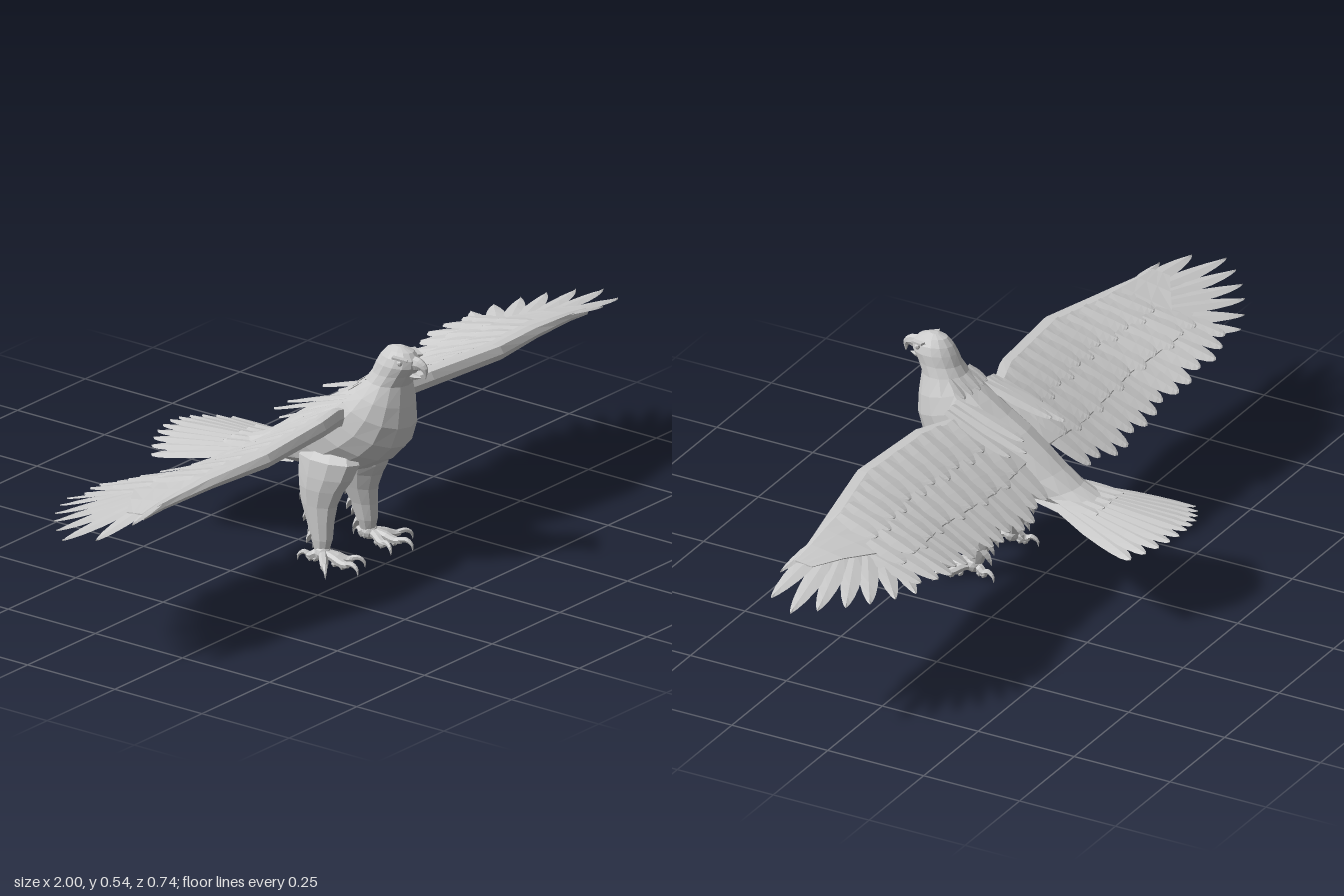
import * as THREE from 'three';

const mat = new THREE.MeshStandardMaterial({ color: 0xcccccc, flatShading: true, side: THREE.DoubleSide });
const V = (x, y, z) => new THREE.Vector3(x, y, z);
const lerp = THREE.MathUtils.lerp;

function mesh(name, geometry, parent) {
  const m = new THREE.Mesh(geometry, mat);
  m.name = name;
  parent.add(m);
  return m;
}

// Skin rows of points; closed rows become rings with capped ends
function skin(rows, closed = false) {
  const n = rows[0].length, index = [];
  for (let r = 0; r < rows.length - 1; r++)
    for (let i = 0; i < (closed ? n : n - 1); i++) {
      const a = r * n + i, b = r * n + (i + 1) % n;
      index.push(a, a + n, b, b, a + n, b + n);
    }
  if (closed) {
    const last = (rows.length - 1) * n;
    for (let i = 1; i < n - 1; i++) index.push(0, i, i + 1, last, last + i + 1, last + i);
  }
  const g = new THREE.BufferGeometry().setFromPoints(rows.flat());
  g.setIndex(index);
  g.computeVertexNormals();
  return g;
}

// Tube that follows a curve with changing radius
function taper(points, radii, sides = 7, steps = 7) {
  const curve = new THREE.CatmullRomCurve3(points), frames = curve.computeFrenetFrames(steps, false);
  const rows = [];
  for (let s = 0; s <= steps; s++) {
    const t = s / steps, f = t * (radii.length - 1), k = Math.min(Math.floor(f), radii.length - 2);
    const r = lerp(radii[k], radii[k + 1], f - k), c = curve.getPoint(t);
    rows.push(Array.from({ length: sides }, (_, i) => {
      const a = i / sides * Math.PI * 2;
      return c.clone().addScaledVector(frames.normals[s], Math.cos(a) * r)
        .addScaledVector(frames.binormals[s], Math.sin(a) * r);
    }));
  }
  return skin(rows, true);
}

// Thin ridged blade from base to tip [x, z], draped over a height function
function feather(base, tip, half, height, lift = 0, point = 0.5) {
  const dx = tip[0] - base[0], dz = tip[1] - base[1], len = Math.hypot(dx, dz);
  const rows = [0, 0.25, 0.5, 0.7, 0.84, 0.93, 0.98, 1].map(t => {
    const w = half * Math.pow(Math.max(0, 1 - Math.pow(t, 4)), point) * (0.6 + 0.4 * Math.min(1, t * 2));
    return [-1, 0, 1].map(s => {
      const x = base[0] + dx * t - dz / len * w * s, z = base[1] + dz * t + dx / len * w * s;
      return V(x, height(x, z) + lift + (s ? 0 : 0.003), z);
    });
  });
  return skin(rows);
}

// Wing stations: x, leading z, trailing z, leading y, trailing y, thickness
const stations = [
  [0.04, 0.19, -0.05, 0.385, 0.26, 0.05], [0.1, 0.2, -0.06, 0.40, 0.25, 0.05],
  [0.2, 0.235, -0.08, 0.41, 0.237, 0.045], [0.43, 0.255, -0.075, 0.405, 0.265, 0.04],
  [0.6, 0.225, -0.1, 0.388, 0.30, 0.03], [0.75, 0.2, -0.07, 0.368, 0.318, 0.02],
  [0.87, 0.19, -0.03, 0.35, 0.325, 0.012], [1.0, 0.17, 0, 0.33, 0.33, 0.006]];
function station(x) {
  let k = 0;
  while (k < stations.length - 2 && x > stations[k + 1][0]) k++;
  const a = stations[k], b = stations[k + 1];
  const t = THREE.MathUtils.clamp((x - a[0]) / (b[0] - a[0]), 0, 1);
  return a.map((v, i) => lerp(v, b[i], t));
}
function wingY(x, z) {
  const [, lz, tz, ly, ty] = station(x);
  return lerp(ly, ty, Math.pow(THREE.MathUtils.clamp((lz - z) / (lz - tz), 0, 1.1), 1.15));
}

function makeWing() {
  const wing = new THREE.Group();
  // Solid arm: a cambered section, thick at the leading edge
  const section = [[0, -0.6], [0.03, -0.15], [0.1, 0], [0.25, 0], [0.45, 0], [0.7, 0],
    [0.7, -0.1], [0.45, -0.25], [0.25, -0.5], [0.1, -0.95], [0.02, -0.95]];
  const rows = [0.04, 0.1, 0.15, 0.2, 0.28, 0.36, 0.43, 0.52, 0.6, 0.68, 0.75, 0.82].map(x => {
    const [, lz, tz, , , th] = station(x), chord = x > 0.6 ? lerp(1, 0.3, (x - 0.6) / 0.22) : 1;
    return section.map(([u, d]) => {
      const z = lerp(lz, tz, u * chord);
      return V(x, wingY(x, z) + d * th, z);
    });
  });
  mesh('wingArm', skin(rows, true), wing);
  // Fanned outer flight feathers
  const tips = [[0.87, 0.198], [0.965, 0.168], [1, 0.098], [0.96, 0.05], [0.91, 0.005], [0.86, -0.03],
    [0.8, -0.062], [0.745, -0.085]];
  tips.forEach((tip, i) => mesh('primaryFeather',
    feather([0.68 - i * 0.012, 0.175 - i * 0.012], tip, i ? 0.026 : 0.014, wingY, -0.004 - i * 0.0006, 0.8), wing));
  // Inner flight feathers along the trailing edge
  for (let i = 0; i < 14; i++) {
    const x = 0.1 + i * 0.046, z = station(x)[2] + (i % 3 === 1 ? 0.01 : 0);
    mesh('secondaryFeather', feather([x - 0.02, 0.11], [x, z], 0.032, wingY, -0.004 - (i % 2) * 0.002), wing);
  }
  // Overlapping covert rows
  [[0.42, 0.72, 0.004], [0.12, 0.45, 0.007]].forEach(([u0, u1, lift], row) => {
    for (let i = 0; i < 12 - row; i++) {
      const x = 0.11 + i * 0.05 + row * 0.02, [, lz, tz] = station(x);
      mesh('covertFeather', feather([x - 0.01, lerp(lz, tz, u0)],
        [x + 0.006, lerp(lz, tz, u1 + (i % 2) * 0.03)], 0.03, wingY, lift - (i % 2) * 0.002), wing);
    }
  });
  // Long shoulder feathers lying between back and wing
  [[0.055, 0.02, 0.37], [0.08, 0.0, 0.36], [0.1, 0.03, 0.355]].forEach(([x, z, y], i) =>
    mesh('shoulderFeather', feather([x, 0.2], [x + 0.01, z], 0.024,
      (px, pz) => lerp(y - 0.01, 0.415, THREE.MathUtils.clamp((pz - z) / (0.2 - z), 0, 1)), -i * 0.004), wing));
  return wing;
}

function makeLeg() {
  const leg = new THREE.Group();
  // Feathered thigh and shank: y, front z, back z, centre x, half width
  const sections = [[0.28, 0.2, 0.07, 0.05, 0.03], [0.25, 0.22, 0.05, 0.058, 0.042], [0.21, 0.204, 0.055, 0.064, 0.042],
    [0.18, 0.184, 0.062, 0.07, 0.038], [0.14, 0.166, 0.072, 0.075, 0.031], [0.1, 0.161, 0.09, 0.08, 0.025],
    [0.06, 0.159, 0.105, 0.083, 0.021], [0.035, 0.152, 0.115, 0.085, 0.016]];
  mesh('thigh', skin(sections.map(([y, zf, zb, x, w]) => Array.from({ length: 10 }, (_, i) => {
    const a = i / 10 * Math.PI * 2;
    return V(x + Math.sin(a) * w, y, (zf + zb) / 2 + Math.cos(a) * (zf - zb) / 2);
  })), true), leg);
  // Ragged tufts down the back of the leg
  for (let i = 0; i < 10; i++) {
    const y = 0.2 - i * 0.016, z = lerp(0.075, 0.118, i / 9), x = lerp(0.066, 0.084, i / 9) + (i % 3 - 1) * 0.01;
    mesh('legTuft', taper([V(x, y, z), V(x, y - 0.014, z - 0.012), V(x, y - 0.03, z - 0.019)], [0.011, 0.008, 0.0005], 4, 3), leg);
  }
  // Toes with hooked claws: angle from forward, length
  mesh('ankle', new THREE.IcosahedronGeometry(0.02, 1), leg).position.set(0.087, 0.028, 0.138);
  [[-0.42, 0.083], [0.12, 0.096], [0.85, 0.082], [2.9, 0.046]].forEach(([angle, len]) => {
    const at = (d, y) => V(0.088 + Math.sin(angle) * d, y, 0.138 + Math.cos(angle) * d);
    mesh('toe', taper([at(0, 0.028), at(len * 0.35, 0.025), at(len * 0.65, 0.017), at(len * 0.85, 0.019)],
      [0.013, 0.01, 0.011, 0.009, 0.007]), leg);
    mesh('claw', taper([at(len * 0.78, 0.02), at(len, 0.024), at(len + 0.014, 0.015), at(len + 0.016, 0.001)],
      [0.007, 0.006, 0.004, 0.0005], 6), leg);
    [0.4, 0.66].forEach(k => mesh('toePad', new THREE.IcosahedronGeometry(0.009, 0), leg)
      .position.copy(at(len * k, 0.012)));
  });
  return leg;
}

export function createModel() {
  const bird = new THREE.Group();
  bird.name = 'bird';

  // Head, neck and body: front z, front y, back z, back y, half width
  const body = [[0.302, 0.541, 0.28, 0.541, 0.008], [0.328, 0.532, 0.258, 0.534, 0.024], [0.342, 0.516, 0.243, 0.518, 0.035],
    [0.342, 0.498, 0.233, 0.5, 0.042], [0.328, 0.476, 0.222, 0.475, 0.045], [0.316, 0.45, 0.208, 0.455, 0.052],
    [0.321, 0.4, 0.18, 0.43, 0.07], [0.322, 0.35, 0.145, 0.408, 0.083], [0.306, 0.3, 0.1, 0.378, 0.09],
    [0.27, 0.262, 0.05, 0.348, 0.094], [0.2, 0.222, 0, 0.312, 0.088], [0.12, 0.207, -0.045, 0.277, 0.077],
    [0.04, 0.206, -0.09, 0.246, 0.064], [-0.06, 0.204, -0.14, 0.226, 0.05], [-0.16, 0.2, -0.2, 0.211, 0.03]];
  mesh('body', skin(body.map(([zf, yf, zb, yb, w]) => Array.from({ length: 14 }, (_, i) => {
    const a = i / 14 * Math.PI * 2, t = (1 - Math.cos(a)) / 2;
    return V(Math.sin(a) * w, lerp(yf, yb, t), lerp(zf, zb, t));
  })), true), bird);

  // Open hooked beak
  const upper = mesh('upperBeak', taper([V(0, 0.506, 0.325), V(0, 0.507, 0.347), V(0, 0.499, 0.362), V(0, 0.476, 0.365)],
    [0.02, 0.015, 0.009, 0.001], 8, 9), bird);
  upper.scale.x = 0.85;
  mesh('lowerBeak', taper([V(0, 0.479, 0.315), V(0, 0.475, 0.335), V(0, 0.477, 0.353)], [0.011, 0.008, 0.001], 6, 5), bird);

  // Nape feathers standing off the neck
  for (let i = -2; i <= 2; i++) {
    const x = i * 0.02, d = Math.abs(i) * 0.006;
    mesh('napeFeather', feather([x, 0.225], [x * 1.3, 0.17 + d], 0.014,
      (px, pz) => 0.424 - d + (pz - 0.17) * 0.75, 0), bird);
  }

  // Fanned tail, drooping at the edges
  const tailY = (x, z) => 0.222 + (z + 0.1) * 0.07 - 0.9 * x * x;
  for (let i = -5; i <= 5; i++) {
    const s = i / 5, x = 0.15 * s, z = -0.368 + 0.062 * s * s;
    mesh('tailFeather', feather([x * 0.3, -0.04], [x, z], 0.026, tailY, -Math.abs(i) * 0.0015), bird);
    if (i % 2 === 0) mesh('tailCovert', feather([x * 0.28, 0], [x * 0.5, -0.17], 0.024, tailY, 0.006), bird);
    if (i % 2 === 0) mesh('underTailCovert', feather([x * 0.28, 0.02], [x * 0.4, -0.16], 0.024, tailY, -0.02), bird);
  }

  // Paired parts, mirrored
  const half = new THREE.Group();
  const wing = makeWing(), leg = makeLeg();
  wing.name = 'wing';
  leg.name = 'leg';
  half.add(wing, leg);
  mesh('eye', new THREE.SphereGeometry(0.007, 8, 6), half).position.set(0.033, 0.513, 0.316);
  const brow = mesh('brow', new THREE.BoxGeometry(0.012, 0.005, 0.036), half);
  brow.position.set(0.031, 0.522, 0.315);
  brow.rotation.set(0.2, -0.4, 0);
  const mirrored = half.clone();
  mirrored.scale.x = -1;
  half.name = 'leftSide';
  mirrored.name = 'rightSide';
  bird.add(half, mirrored);
  return bird;
}
